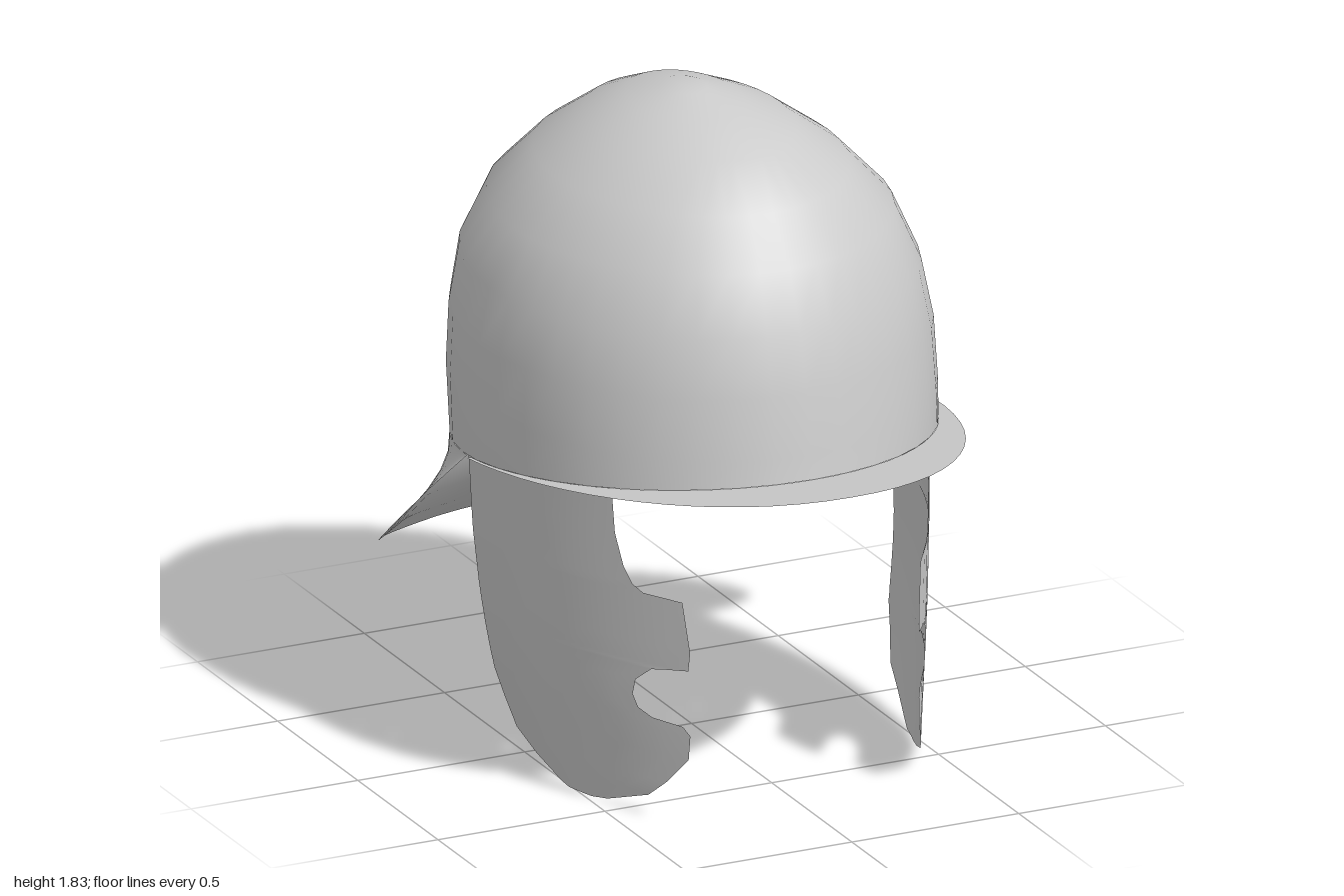
import * as THREE from 'three';
import { mergeVertices } from 'three/addons/utils/BufferGeometryUtils.js';

const metal = new THREE.MeshStandardMaterial({ color: 0xcccccc, side: THREE.DoubleSide });
const SIDE_Z = -0.06; // where brim and neck guard meet

// Height of the bowl's lower edge at depth z
const rimY = (z) => 0.86 + (z - SIDE_Z) * (z > SIDE_Z ? 0.128 : 0.095);

// Half ellipses of different depth in front and behind, angle 0 = front, PI/2 = left
function ring(t, w, front, back, cz = 0) {
  const c = Math.cos(t);
  return [w * Math.sin(t), cz + (c > 0 ? (front - cz) * c : (cz - back) * c)];
}
function rimPoint(t) {
  const [x, z] = ring(t, 0.645, 0.76, -0.69);
  return [x, rimY(z), z];
}

// Smooth sheet from a grid of points, point(row, column) -> [x, y, z]
function sheet(name, rows, cols, point) {
  const pos = [], index = [];
  for (let i = 0; i <= rows; i++) {
    for (let j = 0; j <= cols; j++) {
      pos.push(...point(i, j));
      if (i < rows && j < cols) {
        const a = i * (cols + 1) + j, b = a + cols + 1;
        index.push(a, a + 1, b + 1, a, b + 1, b);
      }
    }
  }
  let geo = new THREE.BufferGeometry();
  geo.setAttribute('position', new THREE.Float32BufferAttribute(pos, 3));
  geo.setIndex(index);
  geo = mergeVertices(geo);
  geo.computeVertexNormals();
  const mesh = new THREE.Mesh(geo, metal);
  mesh.name = name;
  return mesh;
}

// Bowl: height, half width, front z, back z, centre z
function createBowl() {
  const levels = [
    [1.03, 0.645, 0.748, -0.74, 0],
    [1.2, 0.638, 0.72, -0.732, 0],
    [1.36, 0.607, 0.68, -0.72, 0],
    [1.52, 0.535, 0.61, -0.64, 0],
    [1.65, 0.41, 0.51, -0.51, 0],
    [1.75, 0.27, 0.35, -0.365, -0.01],
    [1.8, 0.15, 0.17, -0.25, -0.04],
    [1.83, 0.06, 0.03, -0.12, -0.045],
    [1.83, 0, -0.045, -0.045, -0.045],
  ];
  const cols = 40;
  return sheet('bowl', levels.length, cols, (i, j) => {
    const t = ((j % cols) / cols) * Math.PI * 2;
    if (i === 0) return rimPoint(t);
    const [y, w, f, b, c] = levels[i - 1];
    const [x, z] = ring(t, w, f, b, c);
    return [x, y, z];
  });
}

// Flat crescent brim in the tilted plane of the rim
function createBrim() {
  const cols = 32;
  return sheet('brim', 1, cols, (i, j) => {
    const t = (j / cols - 0.5) * Math.PI * 1.03;
    if (i === 1) return rimPoint(t);
    const c = Math.cos(t);
    const x = 0.657 * Math.sign(Math.sin(t)) * Math.abs(Math.sin(t)) ** 0.93;
    const z = c > 0 ? c : c * 0.75;
    return [x, rimY(z), z];
  });
}

// Flared neck guard swept from its outer edge up to the rear rim
function createNeckGuard() {
  const half = [
    [0.645, 0.86, SIDE_Z], [0.7, 0.715, -0.2], [0.727, 0.55, -0.38], [0.68, 0.455, -0.54],
    [0.58, 0.4, -0.7], [0.45, 0.36, -0.83], [0.3, 0.335, -0.93], [0.15, 0.323, -0.985],
  ];
  const mirrored = half.map(([x, y, z]) => [-x, y, z]).reverse();
  const edge = new THREE.CatmullRomCurve3(
    [...half, [0, 0.32, -1], ...mirrored].map((p) => new THREE.Vector3(...p)));
  // Outward and downward share of the way from rim to edge
  const flare = [[1, 1], [0.68, 0.84], [0.39, 0.65], [0.16, 0.45], [0.03, 0.25], [0, 0]];
  const cols = 36;
  return sheet('neckGuard', flare.length - 1, cols, (i, j) => {
    const u = j / cols;
    const e = edge.getPointAt(u);
    const [x, y, z] = rimPoint(Math.PI * (0.53 + 0.94 * u));
    const [out, down] = flare[i];
    return [x + (e.x - x) * out, y + (e.y - y) * down, z + (e.z - z) * out];
  });
}

// Cheek guard with notched front edge: height, front z, back z
function createCheekGuard(side) {
  const rows = [
    [0, 0.38, 0.29], [0.01, 0.44, 0.26], [0.06, 0.58, 0.16], [0.11, 0.635, 0.075],
    [0.19, 0.7, 0.035], [0.26, 0.705, 0], [0.283, 0.685, -0.003], [0.29, 0.6, -0.005],
    [0.31, 0.56, -0.008], [0.345, 0.545, -0.012], [0.39, 0.555, -0.018], [0.43, 0.6, -0.022],
    [0.438, 0.64, -0.024], [0.447, 0.7, -0.025], [0.5, 0.705, -0.032], [0.642, 0.685, -0.052],
    [0.646, 0.58, -0.053], [0.665, 0.55, -0.055], [0.71, 0.525, -0.061], [0.8, 0.5, -0.072],
    [0.9, 0.49, -0.08],
  ];
  const cols = 10;
  return sheet(side > 0 ? 'leftCheekGuard' : 'rightCheekGuard', rows.length - 1, cols, (i, j) => {
    const [h, front, back] = rows[i];
    const u = side > 0 ? j / cols : 1 - j / cols;
    const z = front + (back - front) * u;
    const y = i === rows.length - 1 ? rimY(z) : h;
    // Wraps round the face and curls in towards the chin
    const wrap = 0.52 * Math.max(0, z) ** 1.7;
    const curl = 0.1 * Math.max(0, 1 - y / 0.7) ** 2 * (1 - z / 0.72);
    return [side * (0.63 - wrap - curl), y, z];
  });
}

export function createModel() {
  const helmet = new THREE.Group();
  helmet.name = 'helmet';
  helmet.add(createBowl(), createBrim(), createNeckGuard(), createCheekGuard(1), createCheekGuard(-1));
  return helmet;
}
